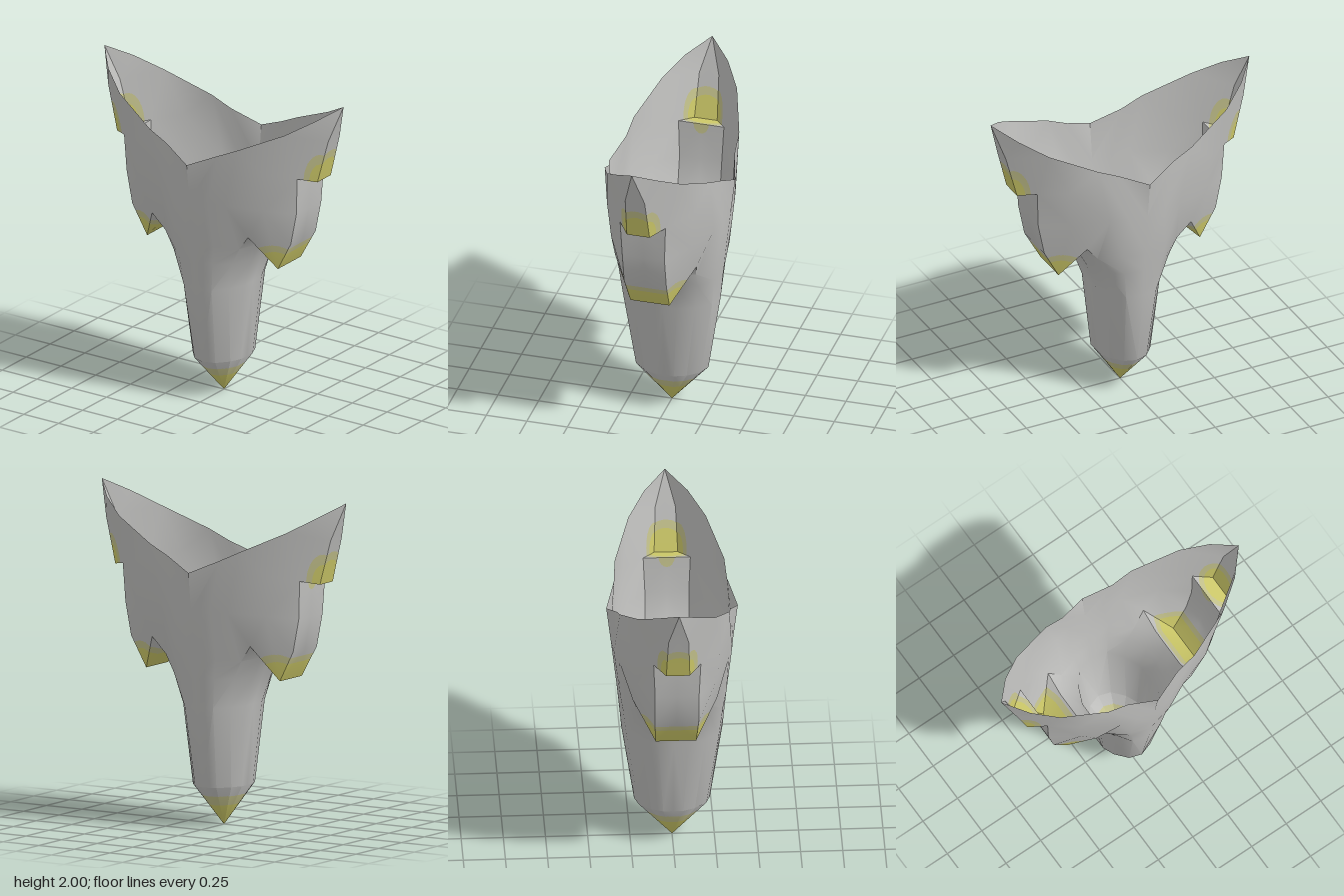
import * as THREE from 'three';
import { toCreasedNormals } from 'three/addons/utils/BufferGeometryUtils.js';

// Stations of one quarter (x >= 0, z >= 0), each row running front to side
const tip = [0, 0, 0];
const C = [0.345, 1.05, 0.12], C0 = [0.345, 1.05, 0], D = [0.265, 1.03, 0.225];
const A = [0.23, 1.33, 0.325], B = [0.345, 1.13, 0.25];
const L = [0.47, 0.915, 0.12], S = [0.45, 1.32, 0.245];
const PANEL = [L, [0.57, 1.1, 0.13], [0.61, 1.3, 0.13], [0.622, 1.53, 0.14]];
const [, Pb, P, Pt] = PANEL;
const U = [0.72, 1.51, 0.07], V = [0.79, 1.78, 0.06], T = [0.47, 1.56, 0.265];
const RIM = [[0, 1.56, 0.39], [0.18, 1.64, 0.335], [0.31, 1.7, 0.325],
  [0.59, 1.83, 0.23], [0.74, 1.92, 0.13], [0.86, 2, 0]];
const onAxis = (p) => [p[0], p[1], 0];

function buildQuarter() {
  const tris = [];
  const fan = (...p) => {
    for (let i = 1; i < p.length - 1; i++) tris.push([p[0], p[i], p[i + 1]]);
  };
  const strip = (rows) => {
    for (let r = 0; r < rows.length - 1; r++) {
      for (let c = 0; c < rows[r].length - 1; c++) {
        fan(rows[r][c], rows[r][c + 1], rows[r + 1][c + 1], rows[r + 1][c]);
      }
    }
  };
  const row = (y, xz) => xz.map(([x, z]) => [x, y, z]);
  const neck = row(1.05, [[0, 0.33], [0.14, 0.315]]);

  // Tapered body from the pointed foot to the neck
  const foot = row(0.25, [[0, 0.225], [0.075, 0.2], [0.135, 0.13], [0.165, 0.06], [0.165, 0]]);
  for (let i = 0; i < 4; i++) fan(tip, foot[i + 1], foot[i]);
  strip([
    foot,
    row(0.74, [[0, 0.3], [0.1, 0.275], [0.165, 0.19], [0.208, 0.09], [0.208, 0]]),
    row(0.92, [[0, 0.317], [0.12, 0.295], [0.21, 0.22], [0.272, 0.1], [0.272, 0]]),
    [...neck, D, C, C0],
  ]);
  // Front wall up to the rim
  strip([[...neck, D], [[0, 1.33, 0.362], [0.12, 1.33, 0.35], A], RIM.slice(0, 3)]);
  // Notch and underside of the side lobe
  fan(A, D, B);
  fan(D, C, B);
  fan(B, C, L);
  fan(C, C0, onAxis(L), L);
  // Curved skin of the lobe and wing
  fan(A, B, S);
  fan(S, B, L, Pb);
  fan(S, Pb, P);
  strip([[A, S, P], [RIM[2], T, Pt]]);
  fan(RIM[3], RIM[2], T, Pt);
  fan(V, RIM[3], Pt, U);
  fan(V, RIM[5], RIM[4], RIM[3]);
  // Flat outer panel, step and wing edge
  strip(PANEL.map((p) => [p, onAxis(p)]));
  fan(Pt, onAxis(Pt), onAxis(U), U);
  strip([U, V].map((p) => [p, onAxis(p)]));
  fan(V, onAxis(V), RIM[5]);
  return tris;
}

// Colour zone at a point: 0 yellow, 1 blend, 2 grey
function zone(x, y, z) {
  x = Math.abs(x);
  const band = (d, a, b) => (d < a ? 0 : d < b ? 1 : 2);
  return Math.min(
    band(y, 0.13, 0.19),
    band(Math.hypot(x - 0.47, y - 0.915), 0.12, 0.165),
    band(Math.hypot(1.5 * (x - 0.72), 0.7 * (y - 1.51), z), 0.115, 0.155),
  );
}

export function createModel() {
  const group = new THREE.Group();
  group.name = 'hollowPointedShell';

  // Mirror the quarter four ways, keeping faces outward
  const pos = [];
  const quarter = buildQuarter();
  for (const sx of [1, -1]) {
    for (const sz of [1, -1]) {
      for (const [a, b, c] of quarter) {
        const t = sx * sz > 0 ? [a, b, c] : [a, c, b];
        for (const p of t) pos.push(p[0] * sx, p[1], p[2] * sz);
      }
    }
  }
  let coarse = new THREE.BufferGeometry();
  coarse.setAttribute('position', new THREE.Float32BufferAttribute(pos, 3));
  coarse = toCreasedNormals(coarse, 0.6);

  // Divide faces along the colour borders
  const parts = [0, 1, 2].map(() => ({ p: [], n: [] }));
  const mid = (a, b) => ({
    p: a.p.clone().add(b.p).multiplyScalar(0.5),
    n: a.n.clone().add(b.n).multiplyScalar(0.5),
  });
  const zoneOf = (v) => zone(v.p.x, v.p.y, v.p.z);
  const divide = (a, b, c, depth) => {
    const za = zoneOf(a);
    const mixed = za !== zoneOf(b) || za !== zoneOf(c);
    if (depth < 2 || (mixed && depth < 6)) {
      const ab = mid(a, b), bc = mid(b, c), ca = mid(c, a);
      divide(a, ab, ca, depth + 1);
      divide(ab, b, bc, depth + 1);
      divide(ca, bc, c, depth + 1);
      divide(ab, bc, ca, depth + 1);
      return;
    }
    const m = a.p.clone().add(b.p).add(c.p).divideScalar(3);
    const part = parts[zone(m.x, m.y, m.z)];
    for (const v of [a, b, c]) {
      part.p.push(v.p.x, v.p.y, v.p.z);
      const n = v.n.clone().normalize();
      part.n.push(n.x, n.y, n.z);
    }
  };
  const P3 = coarse.attributes.position, N3 = coarse.attributes.normal;
  const vertex = (i) => ({
    p: new THREE.Vector3().fromBufferAttribute(P3, i),
    n: new THREE.Vector3().fromBufferAttribute(N3, i),
  });
  for (let i = 0; i < P3.count; i += 3) divide(vertex(i), vertex(i + 1), vertex(i + 2), 0);

  // One mesh for each colour
  const looks = [
    ['glowingTips', 'yellow', 0xd0cc6a],
    ['tipBorders', 'dullYellow', 0xc6c48e],
    ['shell', 'grey', 0xc1c1bf],
  ];
  looks.forEach(([name, colourName, color], i) => {
    const geometry = new THREE.BufferGeometry();
    geometry.setAttribute('position', new THREE.Float32BufferAttribute(parts[i].p, 3));
    geometry.setAttribute('normal', new THREE.Float32BufferAttribute(parts[i].n, 3));
    const material = new THREE.MeshStandardMaterial({ color, side: THREE.DoubleSide });
    material.name = colourName;
    const mesh = new THREE.Mesh(geometry, material);
    mesh.name = name;
    group.add(mesh);
  });
  return group;
}
